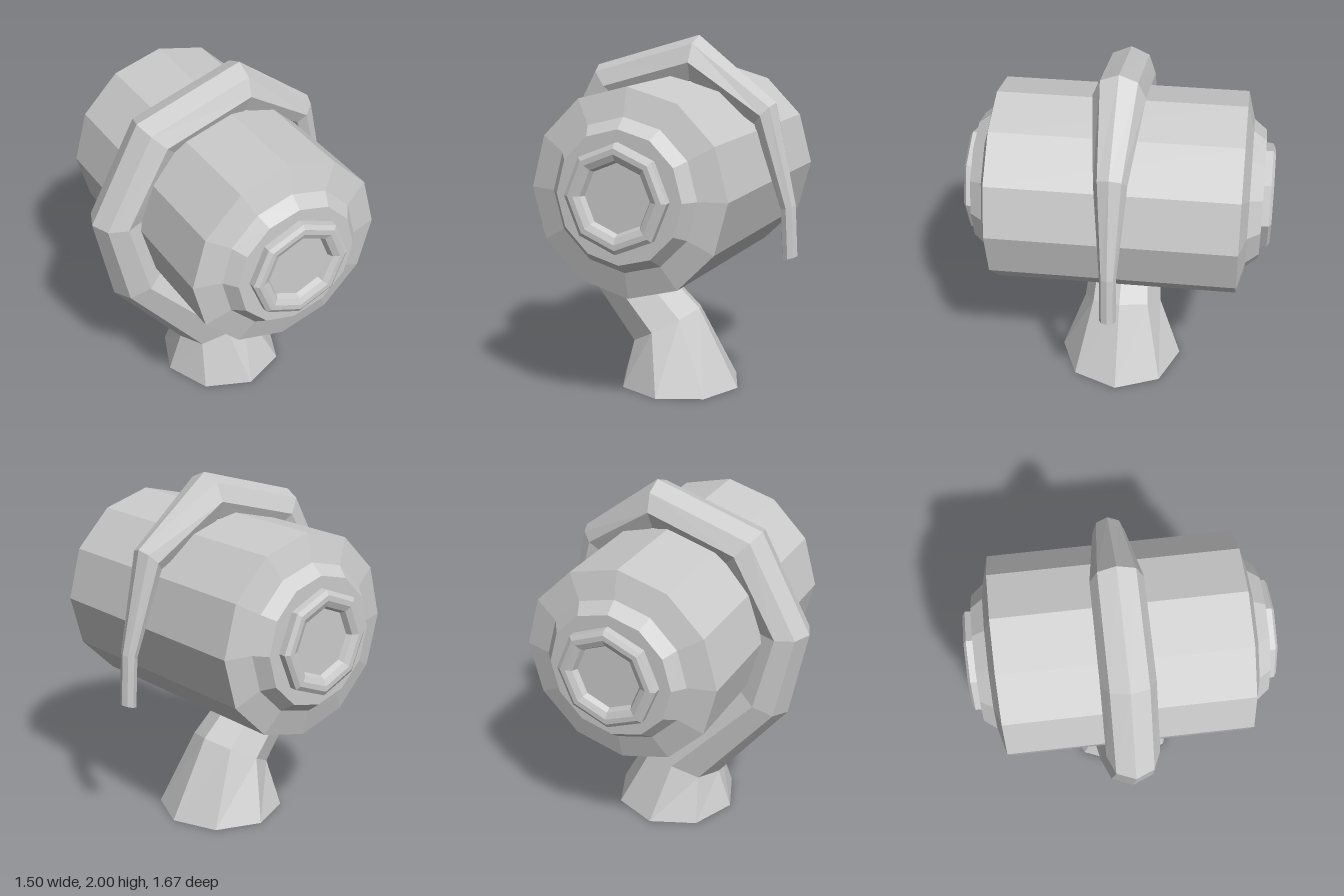
import * as THREE from 'three';

const gray = new THREE.MeshStandardMaterial({ color: 0xcccccc, flatShading: true });
gray.name = 'light gray';

function lathe(name, profile, sides) {
  const points = profile.map(([r, h]) => new THREE.Vector2(r, h));
  const geometry = new THREE.LatheGeometry(points, sides);
  geometry.rotateX(Math.PI / 2);
  const mesh = new THREE.Mesh(geometry, gray);
  mesh.name = name;
  return mesh;
}

// Tapered eight-sided sweep in the xy plane; each ring is centre x, y and outer edge x, y
function sweep(name, rings, sides) {
  const positions = [];
  const index = [];
  for (const [cx, cy, ox, oy] of rings) {
    const r = Math.hypot(ox - cx, oy - cy);
    for (let j = 0; j < sides; j++) {
      const a = (j / sides) * Math.PI * 2;
      const c = Math.cos(a);
      positions.push(cx + (ox - cx) * c, cy + (oy - cy) * c, r * Math.sin(a));
    }
  }
  for (let i = 0; i < rings.length - 1; i++) {
    for (let j = 0; j < sides; j++) {
      const k = (j + 1) % sides;
      const a = i * sides + j, b = i * sides + k;
      index.push(a, b, b + sides, a, b + sides, a + sides);
    }
  }
  // End caps
  const last = (rings.length - 1) * sides;
  for (let j = 1; j < sides - 1; j++) {
    index.push(0, j + 1, j, last, last + j, last + j + 1);
  }
  const geometry = new THREE.BufferGeometry();
  geometry.setAttribute('position', new THREE.Float32BufferAttribute(positions, 3));
  geometry.setIndex(index);
  geometry.computeVertexNormals();
  const mesh = new THREE.Mesh(geometry, gray);
  mesh.name = name;
  return mesh;
}

export function createModel() {
  const model = new THREE.Group();
  model.name = 'drumOnHook';

  // Twelve-sided drum with stepped ends
  const drum = new THREE.Group();
  drum.name = 'drumAssembly';
  drum.position.set(0.04, 1.22, 0);
  const end = [[0.56, 0.67], [0.41, 0.71], [0.355, 0.78], [0.25, 0.78]];
  const start = end.map(([r, h]) => [r, -h]).reverse();
  drum.add(lathe('drum', [...start, ...end], 12));

  // Octagonal recessed hub on each end
  const hub = [[0.29, 0.77], [0.29, 0.82], [0.265, 0.835], [0.235, 0.835],
    [0.2, 0.82], [0.185, 0.79], [0, 0.79]];
  const frontHub = lathe('frontHub', hub, 8);
  const backHub = lathe('backHub', hub, 8);
  backHub.rotation.y = Math.PI;
  drum.add(frontHub, backHub);
  model.add(drum);

  // Foot and arm curling over the drum to a thin tip
  model.add(sweep('hookedStand', [
    [0.05, 0, -0.305, 0],
    [-0.03, 0.335, -0.228, 0.226],
    [-0.5, 0.84, -0.645, 0.755],
    [-0.605, 1.27, -0.75, 1.27],
    [-0.36, 1.71, -0.46, 1.815],
    [0.15, 1.86, 0.16, 2],
    [0.55, 1.585, 0.61, 1.65],
    [0.69, 1.08, 0.733, 1.095],
    [0.705, 0.797, 0.748, 0.81],
  ], 8));

  return model;
}
